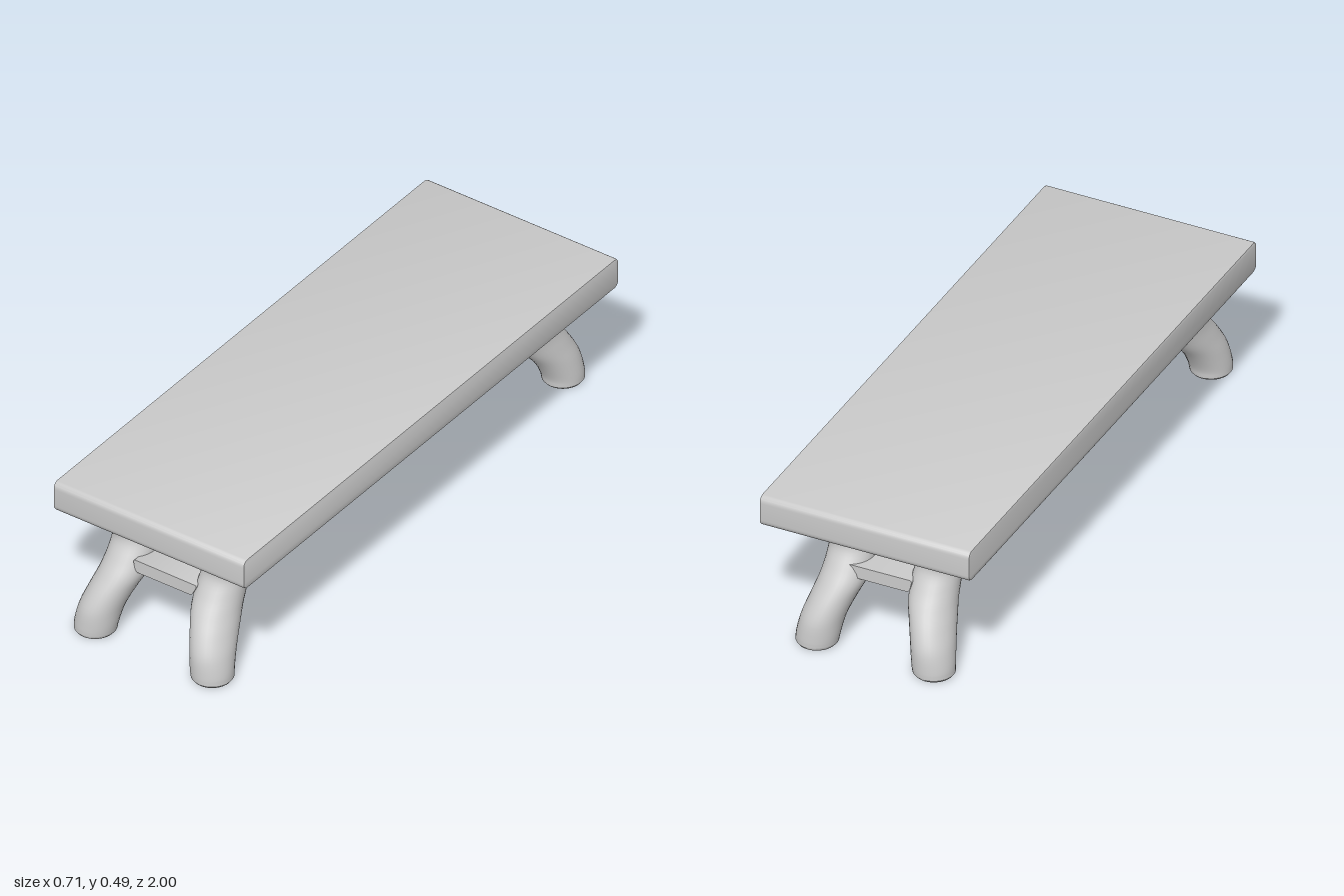
import * as THREE from 'three';
import { toCreasedNormals } from 'three/addons/utils/BufferGeometryUtils.js';

const material = new THREE.MeshStandardMaterial({ color: 0xcccccc });

// Leg sections from the foot up: [centre x, y, centre z, radius x, radius z]
const LEG = [
  [0.212, 0, 0.932, 0.065, 0.067],
  [0.209, 0.03, 0.93, 0.067, 0.069],
  [0.199, 0.09, 0.912, 0.067, 0.08],
  [0.181, 0.15, 0.876, 0.069, 0.089],
  [0.165, 0.2, 0.842, 0.073, 0.09],
  [0.159, 0.25, 0.81, 0.074, 0.085],
  [0.161, 0.3, 0.79, 0.072, 0.075],
  [0.173, 0.35, 0.797, 0.069, 0.07],
  [0.182, 0.388, 0.809, 0.065, 0.069],
];

function add(group, name, geometry, crease = 0.6) {
  const mesh = new THREE.Mesh(toCreasedNormals(geometry, crease), material);
  mesh.name = name;
  group.add(mesh);
  return mesh;
}

// Loft of elliptical rings along the bent leg, mirrored by sx and sz
function legGeometry(sx, sz, rows = 36, sides = 32) {
  const centre = new THREE.CatmullRomCurve3(LEG.map(([x, y, z]) => new THREE.Vector3(x, y, z)));
  const radius = new THREE.CatmullRomCurve3(LEG.map(([, , , a, b]) => new THREE.Vector3(a, b, 0)));
  const positions = [], index = [];
  const tri = (a, b, c) => (sx * sz > 0 ? index.push(a, b, c) : index.push(a, c, b));
  for (let i = 0; i <= rows; i++) {
    const c = centre.getPoint(i / rows), r = radius.getPoint(i / rows);
    const k = i === 0 || i === rows ? 0.93 : 1; // softened rims
    for (let j = 0; j < sides; j++) {
      const a = (j / sides) * Math.PI * 2;
      positions.push(sx * (c.x + k * r.x * Math.cos(a)), c.y, sz * (c.z + k * r.y * Math.sin(a)));
      if (i === rows) continue;
      const p = i * sides + j, q = i * sides + ((j + 1) % sides);
      tri(p, p + sides, q);
      tri(q, p + sides, q + sides);
    }
  }
  // Flat end caps
  const top = rows * sides;
  for (let j = 1; j < sides - 1; j++) {
    tri(0, j, j + 1);
    tri(top, top + j + 1, top + j);
  }
  const geometry = new THREE.BufferGeometry();
  geometry.setAttribute('position', new THREE.Float32BufferAttribute(positions, 3));
  geometry.setIndex(index);
  return geometry;
}

// Slab: rounded side profile extruded across the width with a small bevel
function topGeometry(width, height, length, radius, bevel) {
  const w = length / 2 - bevel, h = height / 2 - bevel, r = radius;
  const s = new THREE.Shape();
  s.moveTo(-w + r, -h);
  s.lineTo(w - r, -h);
  s.quadraticCurveTo(w, -h, w, -h + r);
  s.lineTo(w, h - r);
  s.quadraticCurveTo(w, h, w - r, h);
  s.lineTo(-w + r, h);
  s.quadraticCurveTo(-w, h, -w, h - r);
  s.lineTo(-w, -h + r);
  s.quadraticCurveTo(-w, -h, -w + r, -h);
  const depth = width - 2 * bevel;
  return new THREE.ExtrudeGeometry(s, {
    depth, curveSegments: 6, bevelThickness: bevel, bevelSize: bevel, bevelSegments: 2,
  }).translate(0, 0, -depth / 2).rotateY(Math.PI / 2);
}

// Long stretcher: flat top and undercut, rounded edges
function stretcherGeometry(length) {
  const s = new THREE.Shape();
  s.moveTo(-0.093, 0.22);
  s.lineTo(0.098, 0.22);
  s.quadraticCurveTo(0.108, 0.222, 0.112, 0.233);
  s.lineTo(0.122, 0.253);
  s.quadraticCurveTo(0.123, 0.262, 0.116, 0.262);
  s.lineTo(-0.103, 0.263);
  s.quadraticCurveTo(-0.109, 0.262, -0.109, 0.254);
  s.lineTo(-0.105, 0.236);
  s.quadraticCurveTo(-0.102, 0.222, -0.093, 0.22);
  return new THREE.ExtrudeGeometry(s, { depth: length, bevelEnabled: false, curveSegments: 6 })
    .translate(0, 0, -length / 2);
}

export function createModel() {
  const group = new THREE.Group();
  group.name = 'lowTable';

  add(group, 'tableTop', topGeometry(0.706, 0.106, 1.934, 0.018, 0.006)).position.set(0, 0.436, -0.012);
  add(group, 'stretcher', stretcherGeometry(1.76));

  // Four splayed legs; the right-hand pair on +x sits slightly uneven
  const legs = [
    ['frontLeftLeg', 1, 1, 0.009],
    ['frontRightLeg', -1, 1, 0],
    ['backLeftLeg', 1, -1, -0.031],
    ['backRightLeg', -1, -1, 0],
  ];
  for (const [name, sx, sz, dx] of legs) add(group, name, legGeometry(sx, sz)).position.x = dx;

  return group;
}
